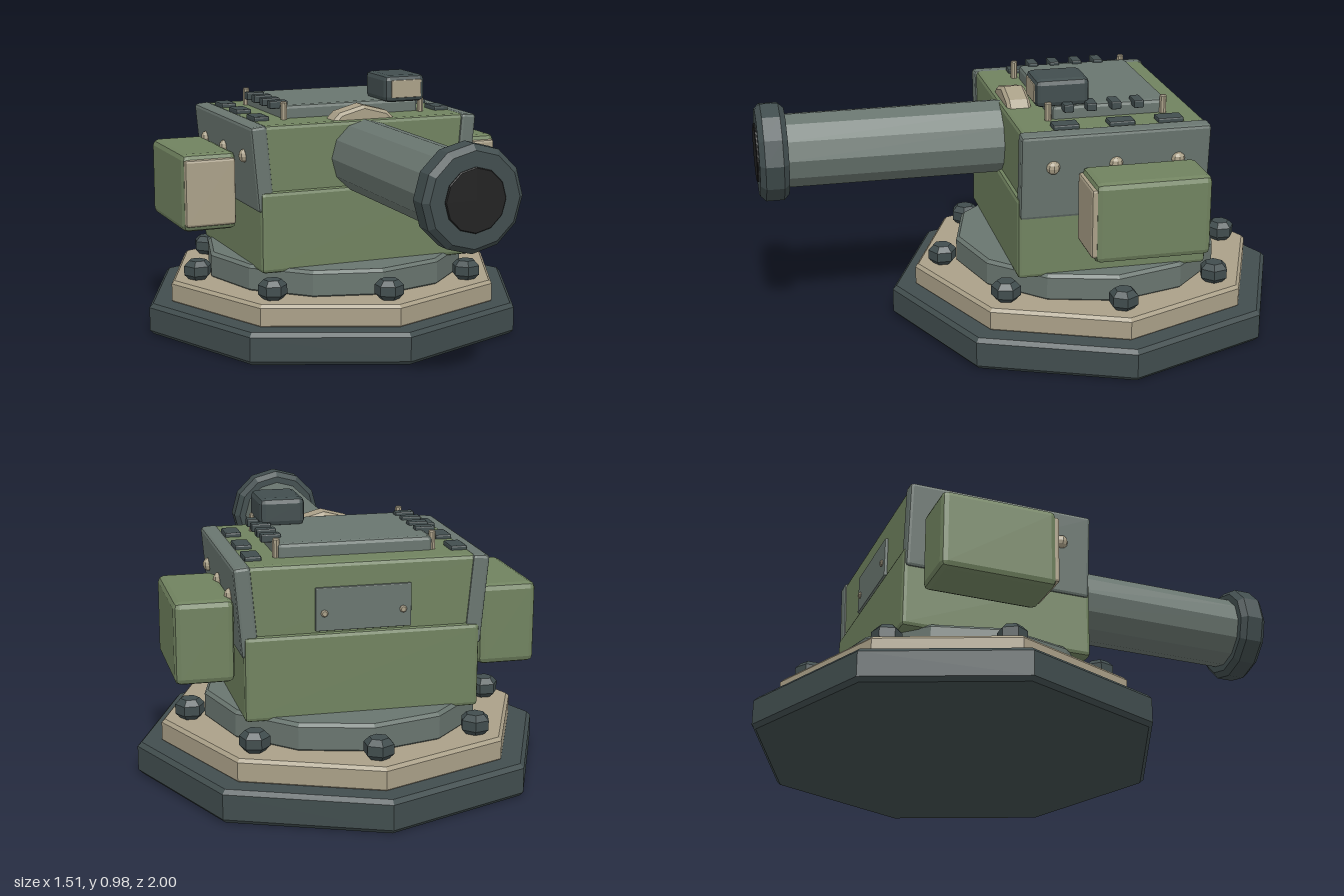
import * as THREE from 'three';
import { RoundedBoxGeometry } from 'three/addons/geometries/RoundedBoxGeometry.js';

const material = (name, color) => {
  const m = new THREE.MeshStandardMaterial({ color });
  m.name = name;
  return m;
};

export function createModel() {
  const green = material('olive green', 0x70825f);
  const grey = material('steel grey', 0x69756f);
  const dark = material('dark slate', 0x414d4e);
  const sand = material('sand', 0xaaa088);
  const black = material('bore black', 0x222222);

  const model = new THREE.Group();
  model.name = 'turret';
  const centreZ = -0.245;

  const add = (name, geometry, mat, x = 0, y = 0, z = 0, parent = model) => {
    const mesh = new THREE.Mesh(geometry, mat);
    mesh.name = name;
    mesh.position.set(x, y, z);
    parent.add(mesh);
    return mesh;
  };

  // Box with single chamfers, given by its extents on each axis
  const box = (name, mat, [x0, x1], [y0, y1], [z0, z1], bevel = 0.015, parent = model) => {
    const g = new RoundedBoxGeometry(x1 - x0, y1 - y0, z1 - z0, 1, bevel);
    g.computeVertexNormals();
    return add(name, g, mat, (x0 + x1) / 2, (y0 + y1) / 2, (z0 + z1) / 2, parent);
  };

  // Closed faceted prism with chamfered rims, standing on y = 0
  const prism = (radius, height, sides, bevel) => {
    const profile = [
      [0, 0], [radius - bevel, 0], [radius, bevel],
      [radius, height - bevel], [radius - bevel, height], [0, height],
    ].map(([r, y]) => new THREE.Vector2(r, y));
    const g = new THREE.LatheGeometry(profile, sides).toNonIndexed();
    g.computeVertexNormals();
    return g;
  };

  // Stepped base
  add('basePlate', prism(0.755, 0.12, 8, 0.015), dark, 0, 0, centreZ);
  add('basePlinth', prism(0.665, 0.09, 8, 0.012), sand, 0, 0.112, centreZ);
  add('turntable', prism(0.505, 0.105, 12, 0.012), grey, 0, 0.195, centreZ);

  // Ring of hexagonal base bolts
  for (let i = 0; i < 8; i++) {
    const a = (i * Math.PI) / 4;
    const bolt = add('baseBolt', prism(0.054, 0.075, 6, 0.02), dark,
      Math.sin(a) * 0.56, 0.2, centreZ + Math.cos(a) * 0.56);
    bolt.rotation.y = a;
  }

  // Main housing
  box('lowerHousing', green, [-0.42, 0.42], [0.285, 0.59], [-0.597, 0.112]);
  box('upperHousing', green, [-0.41, 0.41], [0.56, 0.835], [-0.583, 0.097]);

  // Side armour, its studs and clips, and the side pods
  for (const s of [1, -1]) {
    const span = (a, b) => (s > 0 ? [a, b] : [-b, -a]);
    const armour = new THREE.Group();
    armour.name = s > 0 ? 'leftArmour' : 'rightArmour';
    armour.position.set(s * 0.41, 0.675, centreZ);
    armour.rotation.z = -s * 0.09;
    model.add(armour);
    box('armourPlate', grey, [-0.031, 0.031], [-0.16, 0.16], [-0.345, 0.35], 0.012, armour);
    for (const z of [0.235, 0.005, -0.225]) {
      const stud = new THREE.SphereGeometry(0.025, 8, 6).toNonIndexed();
      stud.computeVertexNormals();
      stud.scale(0.8, 1, 1);
      add('armourStud', stud, sand, s * 0.032, 0.04, z, armour);
    }
    for (const z of [-0.455, -0.275, -0.07]) {
      box('roofClip', dark, span(0.338, 0.398), [0.82, 0.851], [z - 0.048, z + 0.048], 0.006);
    }
    box('sidePod', green, span(0.44, 0.65), [0.415, 0.71], [-0.535, -0.113], 0.022);
    box('podFace', sand, span(0.447, 0.643), [0.435, 0.69], [-0.15, -0.1], 0.01);
  }

  // Roof hatch with latches and corner pins
  box('hatch', grey, [-0.278, 0.278], [0.82, 0.885], [-0.478, -0.047], 0.014);
  for (const x of [-0.28, 0.28]) {
    for (const z of [-0.36, -0.275, -0.185, -0.1]) {
      box('hatchLatch', dark, [x - 0.036, x + 0.036], [0.868, 0.898], [z - 0.019, z + 0.019], 0.005);
    }
    for (const z of [-0.46, -0.03]) {
      add('hatchPin', prism(0.013, 0.075, 8, 0.004), sand, x, 0.827, z);
    }
  }

  // Sight box on the hatch
  box('sight', dark, [0.115, 0.28], [0.88, 0.983], [-0.185, 0.015], 0.02);
  box('sightWindow', sand, [0.14, 0.263], [0.898, 0.965], [0.01, 0.019], 0.003);

  // Rear service panel
  box('rearPanel', grey, [-0.17, 0.17], [0.597, 0.75], [-0.594, -0.575], 0.003);
  for (const x of [-0.14, 0.14]) {
    const screw = add('panelScrew', prism(0.013, 0.012, 8, 0.004), sand, x, 0.66, -0.59);
    screw.rotation.x = -Math.PI / 2;
  }

  // Barrel, collar and muzzle along +z
  const gun = new THREE.Group();
  gun.name = 'gun';
  gun.position.set(0, 0.697, 0);
  gun.rotation.x = Math.PI / 2;
  model.add(gun);
  add('collar', prism(0.19, 0.09, 12, 0.012), sand, 0, -0.008, 0, gun);
  add('barrel', prism(0.138, 0.87, 12, 0.004), grey, 0, 0.05, 0, gun);
  add('muzzle', prism(0.183, 0.105, 12, 0.02), dark, 0, 0.888, 0, gun);
  add('bore', prism(0.11, 0.02, 12, 0.003), black, 0, 0.98, 0, gun);

  return model;
}
